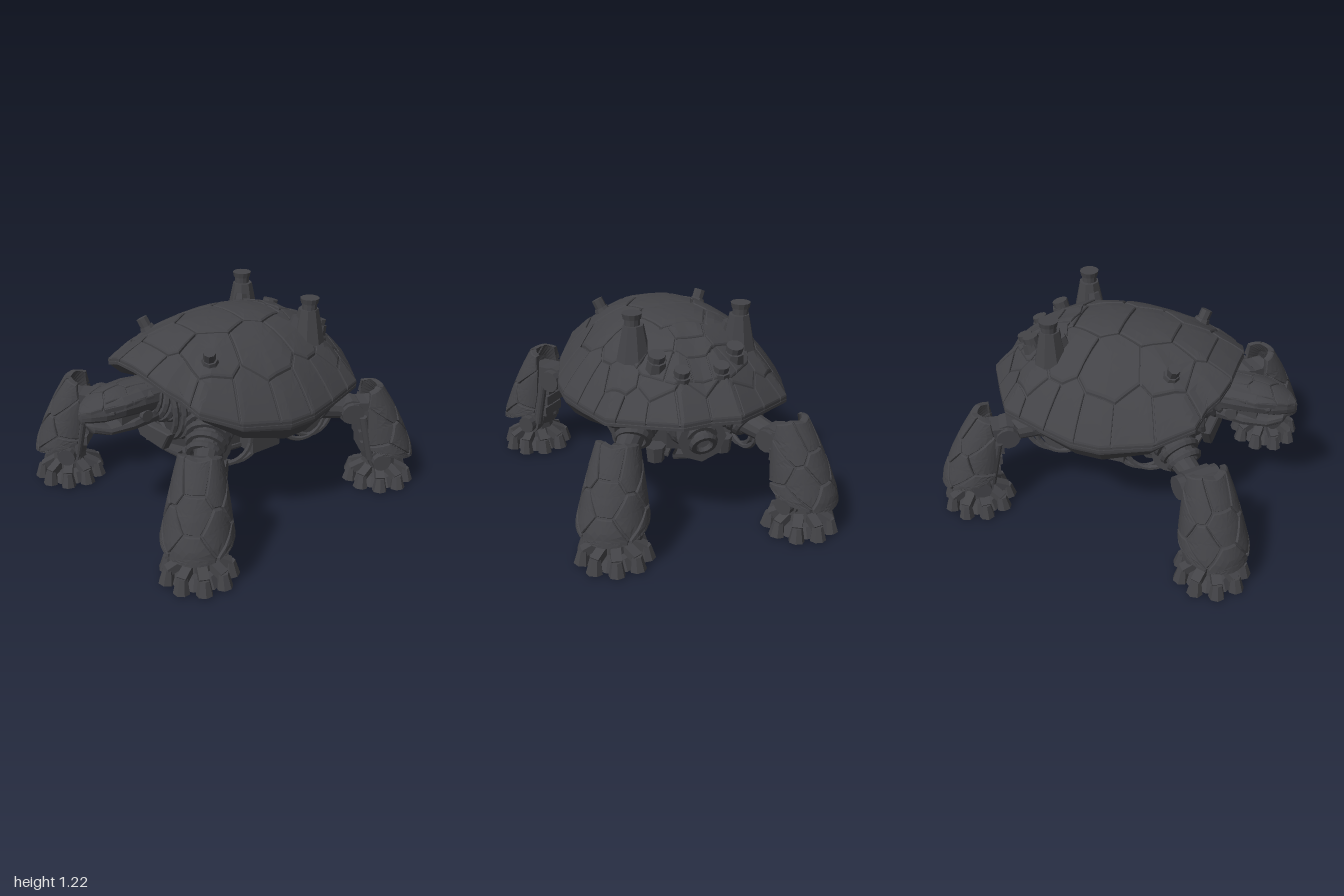
import * as THREE from 'three';

const metal = new THREE.MeshStandardMaterial({ color: 0x434347, side: THREE.DoubleSide, flatShading: true });
metal.name = 'dark gunmetal';
const V = (x, y, z) => new THREE.Vector3(x, y, z);

function add(parent, name, geo, pos = [0, 0, 0], rot = [0, 0, 0]) {
  const m = new THREE.Mesh(geo, metal);
  m.name = name;
  m.position.set(...pos);
  m.rotation.set(...rot);
  parent.add(m);
  return m;
}
const box = (w, h, d) => new THREE.BoxGeometry(w, h, d);
const cyl = (rt, rb, h, n = 12) => new THREE.CylinderGeometry(rt, rb, h, n);

// Cylinder running between two points
function rod(parent, name, a, b, r0, r1 = r0, n = 12) {
  const m = add(parent, name, cyl(r1, r0, a.distanceTo(b), n));
  m.position.copy(a).lerp(b, 0.5);
  m.quaternion.setFromUnitVectors(V(0, 1, 0), b.clone().sub(a).normalize());
}
// Bellows: rings threaded on a curve
function bellows(parent, name, pts, n, r0, r1) {
  const curve = new THREE.QuadraticBezierCurve3(...pts);
  add(parent, name + 'Core', new THREE.TubeGeometry(curve, 10, r1 * 0.95, 10));
  for (let i = 0; i < n; i++) {
    const t = i / (n - 1);
    const m = add(parent, name, new THREE.TorusGeometry(r0 + (r1 - r0) * t, 0.022, 6, 18));
    m.position.copy(curve.getPoint(t));
    m.quaternion.setFromUnitVectors(V(0, 0, 1), curve.getTangent(t));
  }
}
// Skin joining closed rings that have equal point counts
function loft(rings) {
  const pos = [];
  for (let i = 0; i + 1 < rings.length; i++) {
    const A = rings[i], B = rings[i + 1], n = A.length;
    for (let j = 0; j < n; j++) {
      const k = (j + 1) % n;
      for (const [p, q, r] of [[A[j], A[k], B[k]], [A[j], B[k], B[j]]]) {
        if (p.distanceTo(q) > 1e-5 && q.distanceTo(r) > 1e-5 && r.distanceTo(p) > 1e-5)
          pos.push(...p.toArray(), ...q.toArray(), ...r.toArray());
      }
    }
  }
  const g = new THREE.BufferGeometry();
  g.setAttribute('position', new THREE.Float32BufferAttribute(pos, 3));
  g.computeVertexNormals();
  return g;
}
const mirrorLoop = half => [...half, ...half.slice(1, -1).reverse().map(([x, ...r]) => [-x, ...r])];
const mirrorSeeds = s => s.flatMap(([x, y]) => (x ? [[x, y], [-x, y]] : [[x, y]]));

function clip(poly, px, py, nx, ny) {
  const out = [], dist = p => (p[0] - px) * nx + (p[1] - py) * ny;
  poly.forEach((a, i) => {
    const b = poly[(i + 1) % poly.length], da = dist(a), db = dist(b);
    if (da <= 0) out.push(a);
    if (da * db < 0) {
      const t = da / (da - db);
      out.push([a[0] + (b[0] - a[0]) * t, a[1] + (b[1] - a[1]) * t]);
    }
  });
  return out;
}
// Raised polygon plates: the cells nearest each seed, laid on a surface map(u, v, lift)
function plates(parent, name, outline, seeds, map, gap = 0.01, lift = 0.01, cuts = 3) {
  for (const s of seeds) {
    let poly = outline.map(p => [p[0], p[1]]);
    for (const o of seeds) {
      if (o === s) continue;
      const dx = o[0] - s[0], dy = o[1] - s[1], l = Math.hypot(dx, dy), k = 0.5 - gap / 2 / l;
      poly = clip(poly, s[0] + dx * k, s[1] + dy * k, dx / l, dy / l);
    }
    if (poly.length < 3) continue;
    const edge = poly.flatMap((a, i) => {
      const b = poly[(i + 1) % poly.length];
      return Array.from({ length: cuts }, (_, k) => [a[0] + (b[0] - a[0]) * k / cuts, a[1] + (b[1] - a[1]) * k / cuts]);
    });
    const c = [0, 1].map(k => edge.reduce((t, p) => t + p[k], 0) / edge.length);
    const steps = [[0, lift], [0.33, lift], [0.66, lift], [0.95, lift], [1, lift * 0.4], [1, -0.012]];
    add(parent, name, loft(steps.map(([t, d]) =>
      edge.map(p => map(c[0] + (p[0] - c[0]) * t, c[1] + (p[1] - c[1]) * t, d)))));
  }
}

// Shell rim as x, z, y
const rim = mirrorLoop([[0, .64, .95], [.16, .64, .94], [.27, .61, .9], [.34, .56, .86], [.46, .53, .81], [.58, .33, .73], [.65, .05, .69],
  [.65, -.12, .69], [.6, -.32, .70], [.52, -.57, .71], [.34, -.69, .72], [.16, -.80, .73], [0, -.78, .73]]);
const CZ = -0.05;
function dome(x, z, d) {
  let r = 0, y = 0.7;
  rim.forEach((a, i) => {
    const b = rim[(i + 1) % rim.length], az = a[1] - CZ, bz = b[1] - CZ, pz = z - CZ;
    const det = a[0] * bz - b[0] * az, s = (x * bz - b[0] * pz) / det, t = (a[0] * pz - x * az) / det;
    if (s >= -1e-6 && t >= -1e-6 && s + t > 1e-6) { r = s + t; y = (s * a[2] + t * b[2]) / r; }
  });
  return V(x, y + (1.125 - y) * (1 - Math.pow(r, 2.4)) + d, z);
}

function buildShell(g) {
  plates(g, 'shellBase', rim, [[0, 0]], (x, z, d) => dome(x, z, d - 0.02), 0, 0.01, 4);
  plates(g, 'shellScute', rim, mirrorSeeds([[0, .57], [0, .42], [0, .15], [0, -.17], [0, -.42], [0, -.6], [.27, .55], [.47, .43], [.27, .33],
    [.57, .21], [.37, .02], [.61, .0], [.6, -.19], [.3, -.29], [.54, -.37], [.4, -.45], [.49, -.53], [.4, -.64], [.22, -.56], [.25, -.73], [.09, -.75]]), dome);
  // Turned-under edge and ceiling
  const drop = z => 0.13 - 0.07 * Math.min(1, (z / .64) ** 2);
  const ring = (s, f) => rim.map(([x, z, y]) => V(x * s, f(y, drop(z)), CZ + (z - CZ) * s));
  add(g, 'shellUnderside', loft([ring(1, y => y), ring(0.985, (y, d) => y - d * 0.4), ring(0.9, (y, d) => y - d),
    ring(0.85, (y, d) => y - d + 0.01), ring(0.8, y => y - 0.02), ring(0.5, () => 0.68), ring(0, () => 0.68)]));
  // Raised rear deck
  plates(g, 'rearDeck', mirrorLoop([[0, -.3], [.12, -.33], [.24, -.29], [.36, -.36], [.3, -.52], [.16, -.64], [0, -.65]]),
    mirrorSeeds([[0, -.37], [0, -.48], [0, -.6], [.18, -.4], [.3, -.38], [.22, -.51], [.11, -.6]]), (x, z, d) => dome(x, z, d + 0.012));
  for (const s of [-1, 1]) {
    // Tall funnels with buttress, neck and cap
    const x = s * 0.31, z = -0.365;
    add(g, 'funnelBody', cyl(.058, .098, .2, 8), [s * .303, 1.055, z]);
    add(g, 'funnelButtress', cyl(.035, .065, .19, 6), [s * .25, 1.01, z + .06], [-0.2, 0, s * -0.15]);
    add(g, 'funnelNeck', cyl(.044, .044, .05, 12), [x, 1.175, z]);
    add(g, 'funnelCap', cyl(.056, .05, .03, 12), [x, 1.205, z]);
    // Smaller rear vents
    for (const [vx, vz, top, r] of [[.22, -.51, 1.02, .047], [.11, -.6, .955, .043]]) {
      add(g, 'ventBase', cyl(r * 1.1, r * 1.4, .1, 8), [s * vx, top - .07, vz], [-0.3, 0, 0]);
      add(g, 'ventCap', cyl(r, r, .05, 10), [s * vx, top - .01, vz - .01], [-0.3, 0, 0]);
    }
    // Front knobs
    add(g, 'knobBase', cyl(.042, .06, .06, 8), [s * .3, 1.0, .34], [0.3, 0, -s * 0.4]);
    add(g, 'knob', cyl(.035, .035, .08, 8), [s * .315, 1.04, .355], [0.3, 0, -s * 0.4]);
  }
}

function buildHead(g) {
  const sec = ([z, y, w, h]) => Array.from({ length: 14 }, (_, i) => {
    const a = i / 14 * Math.PI * 2, c = Math.cos(a), s = Math.sin(a);
    return V(w * Math.sign(c) * Math.pow(Math.abs(c), 0.7), y + h * Math.sign(s) * Math.pow(Math.abs(s), 0.8), z);
  });
  add(g, 'skull', loft([[.54, .77, 0, 0], [.54, .77, .13, .09], [.66, .785, .15, .08], [.78, .785, .145, .072], [.88, .765, .108, .058],
    [.95, .757, .062, .047], [.985, .745, .02, .037], [.995, .74, 0, 0]].map(sec)));
  add(g, 'lowerJaw', loft([[.56, .68, 0, 0], [.56, .68, .12, .06], [.72, .665, .13, .045], [.85, .655, .1, .034], [.93, .675, .055, .032], [.95, .685, 0, 0]].map(sec)));
  add(g, 'cheek', box(.21, .1, .2), [0, .71, .69]);
  plates(g, 'headPlate', mirrorLoop([[0, .6], [.14, .6], [.145, .78], [.105, .88], [.06, .95], [0, .995]]),
    mirrorSeeds([[0, .66], [.1, .67], [.06, .79], [0, .91], [.14, .81]]),
    (x, z, d) => V(x, 0.866 - 1.6 * Math.max(0, z - .74) ** 2 - 2.6 * x * x + d, z), 0.008, 0.006);
  for (const s of [-1, 1]) {
    add(g, 'brow', box(.022, .025, .1), [s * .118, .802, .84], [0.15, -s * 0.4, 0]);
    add(g, 'eye', new THREE.SphereGeometry(.02, 8, 6), [s * .112, .775, .85]);
    add(g, 'jawHinge', cyl(.035, .035, .03, 10), [s * .13, .71, .65], [0, 0, Math.PI / 2]);
  }
  bellows(g, 'neckRing', [V(0, .7, .2), V(0, .7, .4), V(0, .755, .56)], 8, .16, .12);
  // Collar hoops around the neck
  for (let i = 0; i < 3; i++)
    add(g, 'collarHoop', new THREE.TorusGeometry(.2 + i * .01, .018, 6, 24), [0, .685, .5 - i * .05]);
}

function buildBody(g) {
  add(g, 'bodyCore', cyl(.3, .25, .3, 12), [0, .55, -.02]).scale.z = 1.7;
  plates(g, 'bellyPlate', mirrorLoop([[0, .46], [.14, .45], [.25, .3], [.27, 0], [.24, -.3], [.12, -.5], [0, -.51]]),
    mirrorSeeds([[0, .36], [0, .16], [0, -.03], [0, -.22], [0, -.42], [.17, .28], [.19, .07], [.19, -.13], [.16, -.34]]),
    (x, z, d) => V(x, .365 + 0.5 * x * x + .12 * z * z - d, z), 0.025, 0.018, 2);
  // Chest plate under the head
  const chest = new THREE.Shape([[-.18, .57], [-.11, .46], [.11, .46], [.18, .57], [0, .555]].map(p => new THREE.Vector2(...p)));
  add(g, 'chestPlate', new THREE.ExtrudeGeometry(chest, { depth: .04, bevelSize: .008, bevelThickness: .008, bevelSegments: 1 }), [0, 0, .5]);
  // Tail block and rear ribs
  add(g, 'tailBlock', cyl(.1, .14, .16, 8), [0, .56, -.56], [Math.PI / 2, 0, 0]);
  bellows(g, 'tailRing', [V(0, .58, -.45), V(0, .58, -.58), V(0, .54, -.66)], 5, .13, .06);
  for (const s of [-1, 1]) {
    // Side machinery, hoses and hubs
    add(g, 'sideBox', box(.12, .17, .2), [s * .31, .47, -.01]);
    add(g, 'sideBoxLid', box(.16, .05, .23), [s * .31, .57, -.01]);
    add(g, 'bellyNub', cyl(.04, .02, .05, 8), [s * .05, .345, 0]);
    for (const [z, r] of [[.23, .14], [.17, .15], [-.32, .15], [-.38, .14]])
      add(g, 'sideHose', new THREE.TorusGeometry(r, .016, 6, 24), [s * (.3 + Math.abs(z) * .1), .49, z], [0, Math.PI / 2 - s * 0.25, 0]);
    for (const [z, r] of [[.36, .09], [-.32, .1]]) {
      add(g, 'hub', cyl(r, r, .14, 14), [s * .33, .51, z], [0, 0, Math.PI / 2]);
      add(g, 'hubCap', cyl(r * .6, r * .6, .17, 10), [s * .33, .51, z], [0, 0, Math.PI / 2]);
    }
    for (const z of [.4, .2, -.2, -.42])
      add(g, 'bellyBlock', cyl(.06, .05, .09, 7), [s * .2, .4, z]);
  }
}

// Leg in its own frame: foot at the origin, outward is +z
function buildLeg(kneeWidth) {
  const leg = new THREE.Group();
  add(leg, 'sole', cyl(.13, .165, .06, 9), [0, .04, 0]);
  for (let i = 0; i < 9; i++) {
    const t = new THREE.Group();
    t.rotation.y = (i + 0.5) / 9 * Math.PI * 2;
    t.name = 'toe';
    add(t, 'toeClaw', cyl(.03, .046, .085, 7), [0, .0475, .172], [-0.12, 0, 0]);
    add(t, 'toeKnuckle', box(.055, .045, .1), [0, .1, .125], [0.45, 0, 0]);
    leg.add(t);
  }
  add(leg, 'ankle', cyl(.09, .11, .14, 10), [0, .16, 0]);
  add(leg, 'ankleAxle', cyl(.055, .055, .3, 12), [0, .19, -.02], [0, 0, Math.PI / 2]);
  add(leg, 'ankleHub', cyl(.07, .07, .22, 12), [0, .19, -.02], [0, 0, Math.PI / 2]);
  rod(leg, 'shin', V(0, .2, -.01), V(0, .58, -.12), .1, .07, 10);
  for (const y of [.28, .36, .44]) add(leg, 'shinBlock', box(.17, .06, .1), [0, y, -.09 - (y - .28) * .2]);
  for (const s of [-1, 1]) rod(leg, 'piston', V(s * .09, .2, -.08), V(s * .09, .5, -.14), .025);
  add(leg, 'knee', cyl(.068, .068, kneeWidth, 12), [0, .52, -.2], [0, 0, Math.PI / 2]);
  add(leg, 'kneeCollar', cyl(.08, .08, kneeWidth * .64, 12), [0, .52, -.2], [0, 0, Math.PI / 2]);
  add(leg, 'kneeBlock', box(.14, .13, .16), [0, .52, -.12]);
  // Wrap-around armour: u is arc length, v is height
  const prof = [[.19, .01, .192], [.27, 0, .187], [.42, -.034, .16], [.56, -.075, .132], [.70, -.125, .1]];
  const wrap = (u, v, d) => {
    let i = 0;
    while (i < 3 && v > prof[i + 1][0]) i++;
    const a = prof[i], b = prof[i + 1], t = (v - a[0]) / (b[0] - a[0]);
    const r = a[2] + (b[2] - a[2]) * t + d, th = u / 0.17;
    return V(Math.sin(th) * r, v, a[1] + (b[1] - a[1]) * t + Math.cos(th) * r);
  };
  const outline = mirrorLoop([[0, .68], [.12, .69], [.26, .67], [.33, .56], [.36, .42], [.36, .3], [.22, .24], [.1, .205], [0, .195]]);
  plates(leg, 'armourBase', outline, [[0, .42]], (u, v, d) => wrap(u, v, d - 0.015), 0, 0.01, 4);
  plates(leg, 'armourPlate', outline, mirrorSeeds([[0, .62], [0, .44], [0, .26], [.17, .57], [.14, .35], [.24, .25], [.28, .44]]), wrap);
  return leg;
}

export function createModel() {
  const model = new THREE.Group();
  model.name = 'mechanicalTortoise';
  for (const [name, build] of [['shell', buildShell], ['head', buildHead], ['body', buildBody]]) {
    const g = new THREE.Group();
    g.name = name;
    build(g);
    model.add(g);
  }
  for (const s of [-1, 1]) {
    for (const [name, x, z, dx, dz, h, knee] of [['frontLeg', .685, .715, .7, .71, 1, .25], ['backLeg', .54, -.785, .5, -.866, .95, .18]]) {
      const leg = buildLeg(knee);
      leg.name = name;
      leg.position.set(s * x, 0, z);
      leg.rotation.y = Math.atan2(s * dx, dz);
      leg.scale.y = h;
      model.add(leg);
      // Upper arm and shoulder bellows
      const joint = V(s * (x - dx * .2), .52 * h, z - dz * .2), f = Math.sign(z);
      rod(model, 'upperArm', V(s * .28, .55, f * .32), joint, .085, .06);
      bellows(model, 'shoulderBellows', [V(s * .16, .65, f * .22), V(s * .28, .63, f * .32), V(s * (f > 0 ? .4 : .34), .53, f * .46)], 8, .175, .085);
    }
  }
  return model;
}
